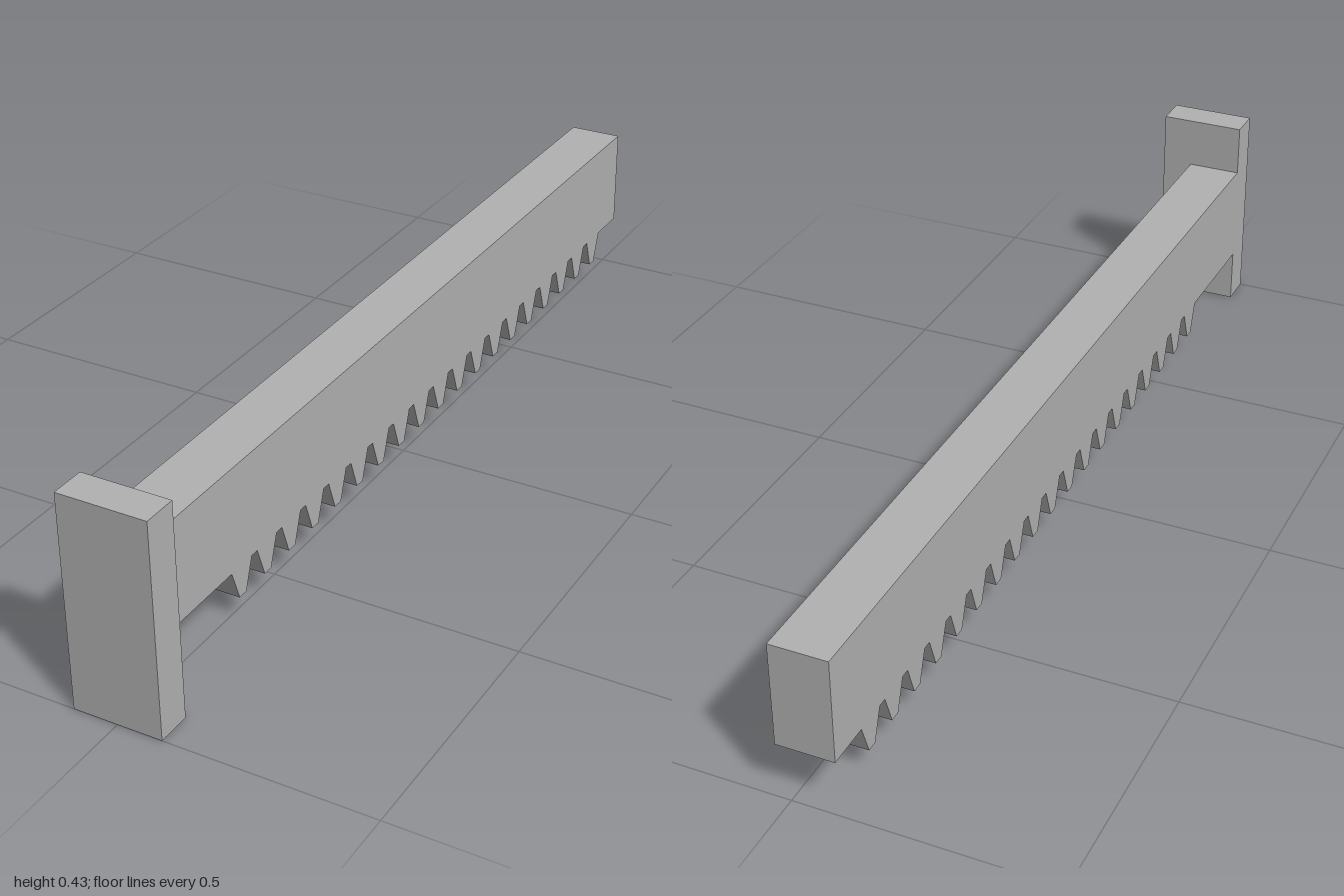
import * as THREE from 'three';

export function createModel() {
  const model = new THREE.Group();
  const grey = new THREE.MeshStandardMaterial({ color: 0xb2b2b2 });
  grey.name = 'grey';

  // Toothed bar: side outline drawn with u = -z, then extruded across x
  const left = -0.089, barWidth = 0.113;
  const bottom = 0.114, top = 0.323, tip = 0.051;
  const teeth = 19, pitch = 0.0844, firstTooth = -0.643;
  const rootHalf = 0.033, tipHalf = 0.011;

  const outline = new THREE.Shape();
  outline.moveTo(-0.93, bottom);
  for (let i = 0; i < teeth; i++) {
    const u = firstTooth + i * pitch;
    outline.lineTo(u - rootHalf, bottom);
    outline.lineTo(u - tipHalf, tip);
    outline.lineTo(u + tipHalf, tip);
    outline.lineTo(u + rootHalf, bottom);
  }
  outline.lineTo(1, bottom);
  outline.lineTo(1, top);
  outline.lineTo(-0.93, top);
  outline.closePath();

  const barGeometry = new THREE.ExtrudeGeometry(outline, { depth: barWidth, bevelEnabled: false });
  barGeometry.rotateY(Math.PI / 2);
  barGeometry.translate(left, 0, 0);
  const bar = new THREE.Mesh(barGeometry, grey);
  bar.name = 'toothedBar';
  model.add(bar);

  // End plate at the front, flush with the bar on one side
  const plate = new THREE.Mesh(new THREE.BoxGeometry(0.178, 0.43, 0.07), grey);
  plate.name = 'endPlate';
  plate.position.set(0, 0.215, 0.965);
  model.add(plate);

  return model;
}
